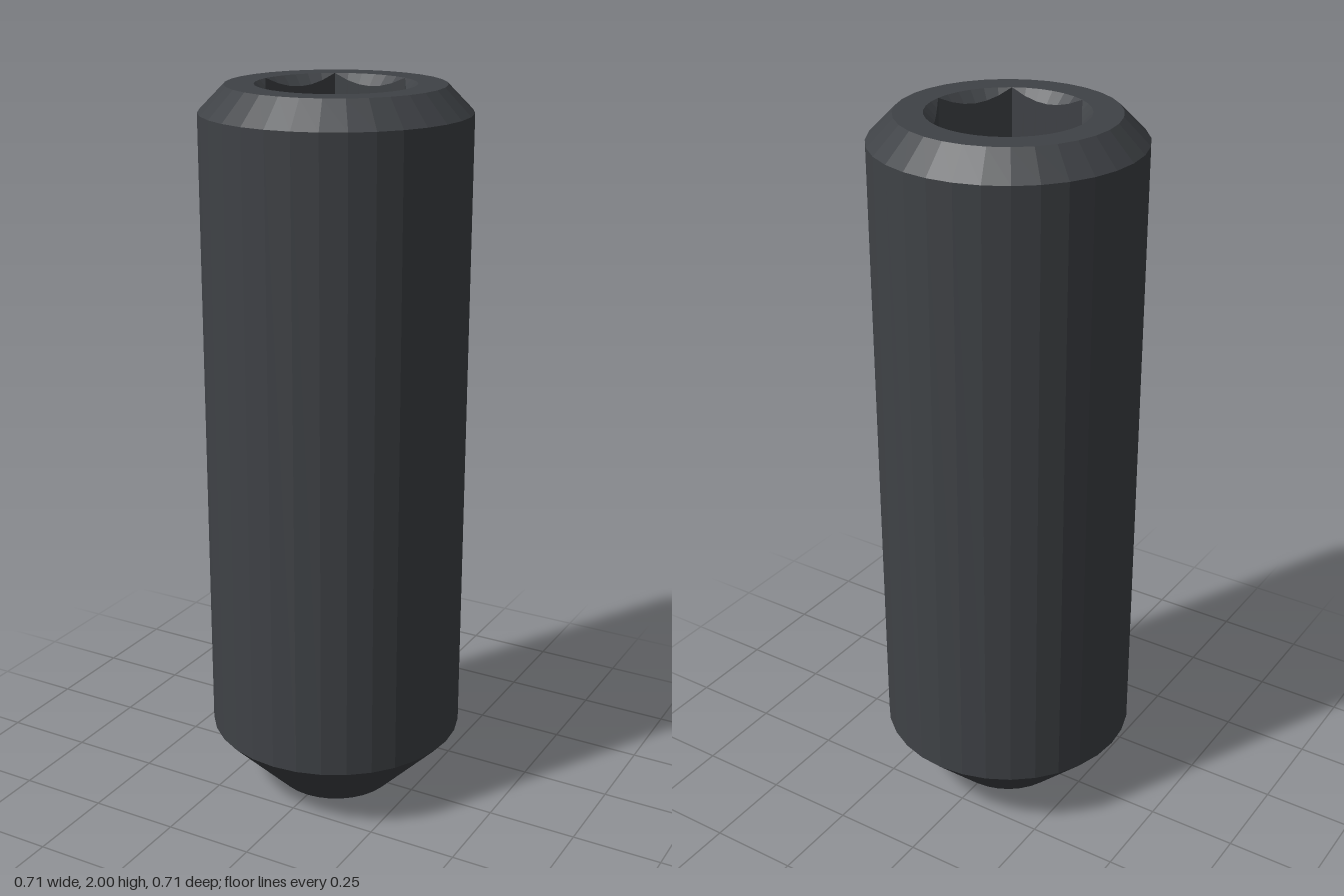
import * as THREE from 'three';

const BODY_SIDES = 32;
const SOCKET_SIDES = 36;
const TOP = 2;
const RIM = 0.287;       // radius of the flat top face
const CORNER = 0.21;     // hexagon corner radius, also the countersink radius
const FLOOR = 1.57;      // socket floor height

const material = new THREE.MeshStandardMaterial({ color: 0x3f4246, flatShading: true });

function addPart(group, name, geometry) {
  const mesh = new THREE.Mesh(geometry, material);
  mesh.name = name;
  group.add(mesh);
}

// Regular polygon outline
function polygon(radius, sides, PathType) {
  const points = [];
  for (let i = 0; i < sides; i++) {
    const a = (i / sides) * Math.PI * 2;
    points.push(new THREE.Vector2(radius * Math.cos(a), radius * Math.sin(a)));
  }
  return new PathType(points);
}

// Inward-facing strips between stacked rings, listed from top to bottom
function innerStrips(rings) {
  const n = SOCKET_SIDES;
  const positions = [];
  const index = [];
  for (const ring of rings) {
    for (let i = 0; i < n; i++) {
      const a = (i / n) * Math.PI * 2;
      const { r, y } = ring(a);
      positions.push(r * Math.cos(a), y, -r * Math.sin(a));
    }
  }
  for (let k = 0; k < rings.length - 1; k++) {
    for (let i = 0; i < n; i++) {
      const j = (i + 1) % n;
      const t0 = k * n + i, t1 = k * n + j;
      const b0 = t0 + n, b1 = t1 + n;
      index.push(b1, b0, t0, b1, t0, t1);
    }
  }
  const geometry = new THREE.BufferGeometry();
  geometry.setAttribute('position', new THREE.Float32BufferAttribute(positions, 3));
  geometry.setIndex(index);
  geometry.computeVertexNormals();
  return geometry;
}

// Distance from the axis to the hexagon wall at angle a
function hexRadius(a) {
  const sector = Math.PI / 3;
  const local = (a % sector) - sector / 2;
  return CORNER * Math.cos(sector / 2) / Math.cos(local);
}

export function createModel() {
  const group = new THREE.Group();
  group.name = 'setScrew';

  // Shank with hollow cup point, tapered tip and top chamfer
  const profile = [[0, 0.1], [0.17, 0], [0.356, 0.19], [0.356, 1.93], [RIM, TOP]]
    .map(([x, y]) => new THREE.Vector2(x, y));
  addPart(group, 'shank', new THREE.LatheGeometry(profile, BODY_SIDES));

  // Flat ring around the socket mouth
  const ring = polygon(RIM, BODY_SIDES, THREE.Shape);
  ring.holes.push(polygon(CORNER, SOCKET_SIDES, THREE.Path));
  const ringGeometry = new THREE.ShapeGeometry(ring);
  ringGeometry.rotateX(-Math.PI / 2).translate(0, TOP, 0);
  addPart(group, 'topFace', ringGeometry);

  // Conical countersink meeting the hexagon in scalloped arcs
  const mouth = () => ({ r: CORNER, y: TOP });
  const scallop = (a) => ({ r: hexRadius(a), y: TOP - (CORNER - hexRadius(a)) });
  const base = (a) => ({ r: hexRadius(a), y: FLOOR });
  addPart(group, 'socketCountersink', innerStrips([mouth, scallop]));
  addPart(group, 'socketWalls', innerStrips([scallop, base]));

  // Hexagonal socket floor
  const floor = new THREE.CircleGeometry(CORNER, 6);
  floor.rotateX(-Math.PI / 2).translate(0, FLOOR, 0);
  addPart(group, 'socketFloor', floor);

  return group;
}
